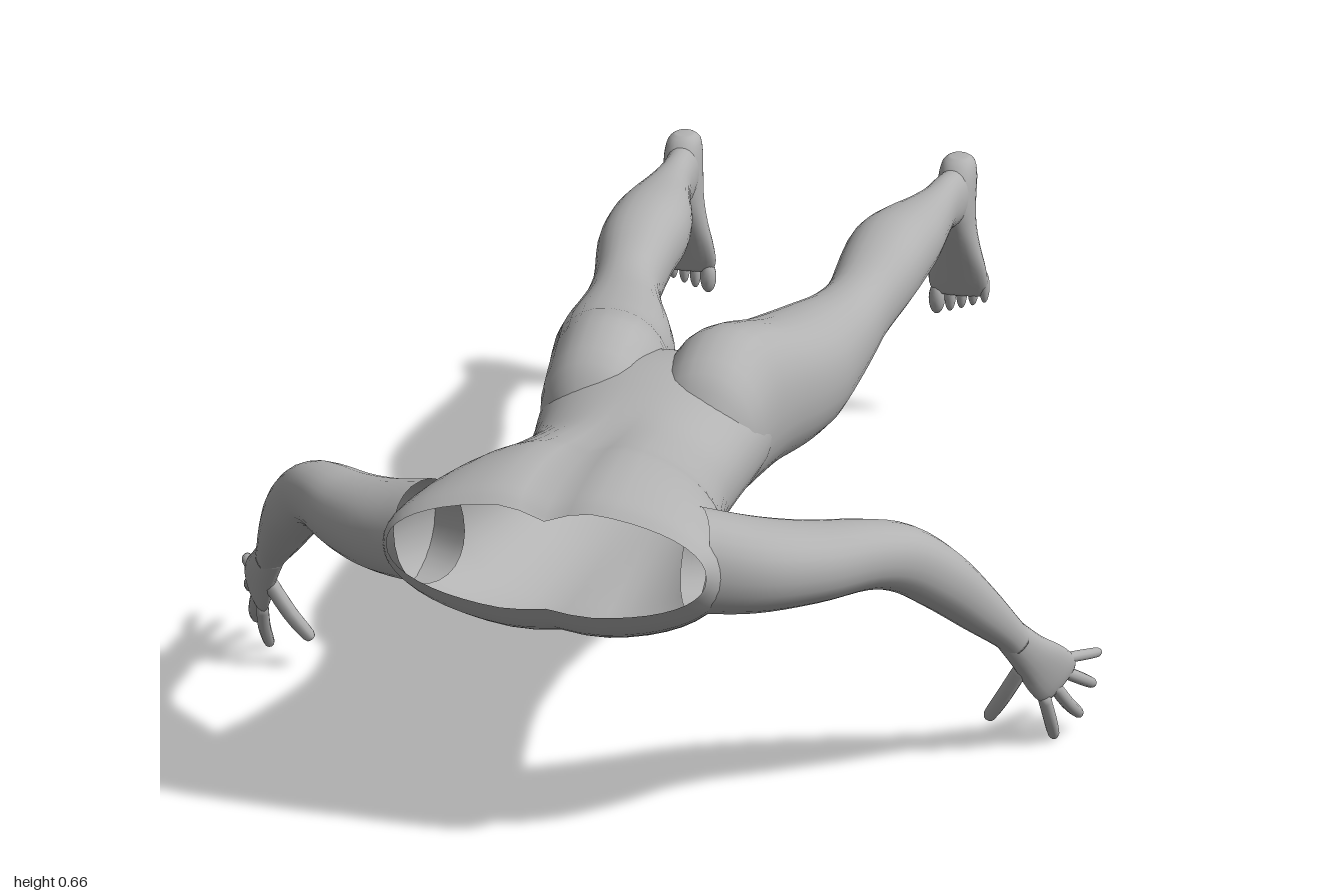
import * as THREE from 'three';

const skin = new THREE.MeshStandardMaterial({ color: 0xb2b2b2 });
skin.name = 'plain grey';
const skinOpen = new THREE.MeshStandardMaterial({ color: 0xb2b2b2, side: THREE.DoubleSide });
skinOpen.name = 'plain grey shell';

const V = (x, y, z) => new THREE.Vector3(x, y, z);

// Catmull-Rom interpolation of every column of a section table
function refine(rows, steps) {
  const out = [];
  const at = i => rows[Math.min(Math.max(i, 0), rows.length - 1)];
  for (let i = 0; i < rows.length - 1; i++) {
    for (let k = 0; k < steps; k++) {
      const t = k / steps;
      out.push(rows[i].map((p1, c) => {
        const p0 = at(i - 1)[c], p2 = at(i + 1)[c], p3 = at(i + 2)[c];
        return p1 + 0.5 * t * (p2 - p0 + t * (2 * p0 - 5 * p1 + 4 * p2 - p3
          + t * (3 * (p1 - p2) + p3 - p0)));
      }));
    }
  }
  out.push(rows[rows.length - 1]);
  return out;
}

// One slightly squared oval section; u x v points along the loft
function oval(center, u, v, a, b, sides) {
  const soft = n => Math.sign(n) * Math.abs(n) ** 0.92;
  return Array.from({ length: sides }, (_, j) => {
    const t = j / sides * Math.PI * 2;
    return center.clone().addScaledVector(u, a * soft(Math.cos(t)))
      .addScaledVector(v, b * soft(Math.sin(t)));
  });
}

// Skin a list of equal rings, with optional end caps
function loft(rings, capStart, capEnd) {
  const n = rings[0].length, pts = rings.flat(), index = [];
  for (let i = 0; i < rings.length - 1; i++) {
    for (let j = 0; j < n; j++) {
      const a = i * n + j, b = i * n + (j + 1) % n;
      index.push(a, b, a + n, b, b + n, a + n);
    }
  }
  const cap = (start, flip) => {
    const mid = V(0, 0, 0);
    for (let j = 0; j < n; j++) mid.addScaledVector(pts[start + j], 1 / n);
    const m = pts.push(mid) - 1;
    for (let j = 0; j < n; j++) {
      const a = start + j, b = start + (j + 1) % n;
      index.push(m, flip ? b : a, flip ? a : b);
    }
  };
  if (capStart) cap(0, true);
  if (capEnd) cap((rings.length - 1) * n, false);
  const g = new THREE.BufferGeometry().setFromPoints(pts);
  g.setIndex(index);
  g.computeVertexNormals();
  return g;
}

// Loft towards -z from rows [z, centreX, halfWidth, top, bottom]
function bodyRings(rows, sides, steps) {
  return refine(rows, steps).map(([z, cx, hw, top, bot]) =>
    oval(V(cx, (top + bot) / 2, z), V(1, 0, 0), V(0, -1, 0), hw, (top - bot) / 2, sides));
}

// Loft along a free path from rows [x, y, z, thickness, width]; width follows up
function limb(rows, up, sides, steps, capStart = true) {
  const r = refine(rows, steps), p = r.map(q => V(q[0], q[1], q[2]));
  const rings = r.map((q, i) => {
    const d = p[Math.min(i + 1, p.length - 1)].clone().sub(p[Math.max(i - 1, 0)]).normalize();
    const u = up.clone().cross(d).normalize();
    return oval(p[i], u, d.clone().cross(u), q[3], q[4], sides);
  });
  return loft(rings, capStart, true);
}

function mirrored(geometry) {
  const g = geometry.clone(), idx = g.index.array;
  for (let i = 0; i < g.attributes.position.count; i++) {
    g.attributes.position.setX(i, -g.attributes.position.getX(i));
  }
  for (let i = 0; i < idx.length; i += 3) [idx[i], idx[i + 1]] = [idx[i + 1], idx[i]];
  g.computeVertexNormals();
  return g;
}

// Rounded digit from base to tip through a bent middle
function digit(base, mid, tip, r) {
  const end = V(...tip).lerp(V(...mid), 0.12).toArray();
  return limb([[...base, r, r], [...mid, r, r], [...end, r * 0.85, r * 0.85],
    [...tip, r * 0.35, r * 0.35]], V(0.39, 0.85, -0.39), 10, 3);
}

export function createModel() {
  const model = new THREE.Group();
  model.name = 'headlessFigure';
  const add = (name, geometry, material = skin) => {
    const m = new THREE.Mesh(geometry, material);
    m.name = name;
    model.add(m);
  };
  const addPair = (name, g, material) => {
    add(name + 'Left', g, material);
    add(name + 'Right', mirrored(g), material);
  };

  // Torso: hollow shell, open at the shoulders
  const torsoRings = bodyRings([
    [0.99, 0, 0.262, 0.63, 0.445], [0.95, 0, 0.28, 0.648, 0.395], [0.86, 0, 0.27, 0.655, 0.35],
    [0.77, 0, 0.24, 0.648, 0.335], [0.7, 0, 0.213, 0.632, 0.336], [0.55, 0, 0.185, 0.602, 0.346],
    [0.45, 0, 0.188, 0.6, 0.354], [0.38, 0, 0.198, 0.612, 0.361], [0.3, 0, 0.204, 0.615, 0.37],
    [0.2, 0, 0.185, 0.59, 0.385], [0.13, 0, 0.09, 0.53, 0.44]], 48, 4);
  // Spine groove and breastbone hollow
  for (const p of torsoRings.flat()) {
    const fade = THREE.MathUtils.smoothstep(p.z, 0.4, 0.85);
    const dip = Math.exp(-((p.x / 0.04) ** 2)) * fade;
    p.y += p.y > 0.5 ? -0.024 * dip : 0.01 * dip;
  }
  add('torso', loft(torsoRings, false, true), skinOpen);

  // Legs with buttocks, thighs, knees and calves
  addPair('leg', loft(bodyRings([
    [0.43, 0.1, 0.05, 0.56, 0.43], [0.38, 0.1, 0.092, 0.626, 0.385],
    [0.28, 0.105, 0.106, 0.66, 0.372], [0.2, 0.115, 0.114, 0.652, 0.372],
    [0.1, 0.141, 0.113, 0.624, 0.366], [0, 0.16, 0.111, 0.602, 0.365],
    [-0.1, 0.18, 0.096, 0.585, 0.38], [-0.2, 0.203, 0.077, 0.572, 0.402],
    [-0.29, 0.222, 0.066, 0.578, 0.43], [-0.4, 0.235, 0.077, 0.606, 0.454],
    [-0.5, 0.239, 0.081, 0.615, 0.46], [-0.6, 0.248, 0.073, 0.605, 0.465],
    [-0.7, 0.26, 0.055, 0.59, 0.47], [-0.8, 0.27, 0.04, 0.578, 0.475],
    [-0.87, 0.275, 0.036, 0.576, 0.462], [-0.94, 0.284, 0.036, 0.572, 0.46]], 28, 3), true, true));

  // Feet hang down: rows [y, centreX, halfWidth, instepZ, soleZ]
  const footRows = [[0.592, 0.284, 0.018, -0.93, -0.972], [0.58, 0.284, 0.032, -0.91, -0.99],
    [0.55, 0.284, 0.038, -0.89, -0.998], [0.5, 0.283, 0.039, -0.878, -0.997],
    [0.45, 0.283, 0.041, -0.892, -0.99], [0.4, 0.284, 0.048, -0.915, -0.988],
    [0.35, 0.285, 0.058, -0.938, -0.992], [0.31, 0.285, 0.061, -0.956, -0.998],
    [0.285, 0.285, 0.053, -0.968, -0.997]];
  addPair('foot', loft(refine(footRows, 3).map(([y, cx, hw, z0, z1]) =>
    oval(V(cx, y, (z0 + z1) / 2), V(1, 0, 0), V(0, 0, 1), hw, (z0 - z1) / 2, 24)), true, true));

  // Toes, big toe on the inside
  for (let i = 0; i < 5; i++) {
    const r = i === 0 ? 0.017 : 0.0125 - i * 0.0005;
    const toe = new THREE.SphereGeometry(1, 12, 10);
    toe.scale(r, 0.034, r);
    toe.translate(0.241 + i * 0.0235 + (i ? 0.004 : 0), 0.272 + i * 0.008, -0.98);
    addPair('toe' + (i + 1), toe);
  }

  // Arms: shoulder, bent elbow, wrist
  addPair('arm', limb([
    [0.22, 0.525, 0.9, 0.078, 0.085], [0.3, 0.508, 0.858, 0.085, 0.075],
    [0.38, 0.495, 0.798, 0.077, 0.064], [0.455, 0.485, 0.728, 0.062, 0.056],
    [0.508, 0.458, 0.67, 0.056, 0.056], [0.56, 0.4, 0.61, 0.052, 0.052],
    [0.61, 0.325, 0.545, 0.042, 0.042], [0.65, 0.262, 0.492, 0.03, 0.031],
    [0.668, 0.232, 0.47, 0.024, 0.028]], V(0, 1, 0), 24, 4, false), skinOpen);

  // Hands
  addPair('palm', limb([
    [0.652, 0.258, 0.488, 0.024, 0.028], [0.685, 0.205, 0.452, 0.022, 0.036],
    [0.708, 0.165, 0.42, 0.019, 0.047], [0.725, 0.135, 0.395, 0.015, 0.049],
    [0.732, 0.122, 0.385, 0.009, 0.04]], V(0.39, 0.85, -0.39), 20, 3));
  const digits = {
    thumb: [[0.68, 0.185, 0.455], [0.645, 0.115, 0.442], [0.615, 0.058, 0.42], 0.0135],
    indexFinger: [[0.708, 0.108, 0.413], [0.716, 0.055, 0.388], [0.72, 0.003, 0.355], 0.0115],
    middleFinger: [[0.721, 0.125, 0.4], [0.742, 0.075, 0.365], [0.757, 0.032, 0.318], 0.0115],
    ringFinger: [[0.731, 0.147, 0.389], [0.757, 0.115, 0.345], [0.775, 0.082, 0.295], 0.011],
    littleFinger: [[0.737, 0.168, 0.383], [0.764, 0.155, 0.335], [0.782, 0.14, 0.288], 0.0095],
  };
  for (const [name, args] of Object.entries(digits)) addPair(name, digit(...args));

  return model;
}
